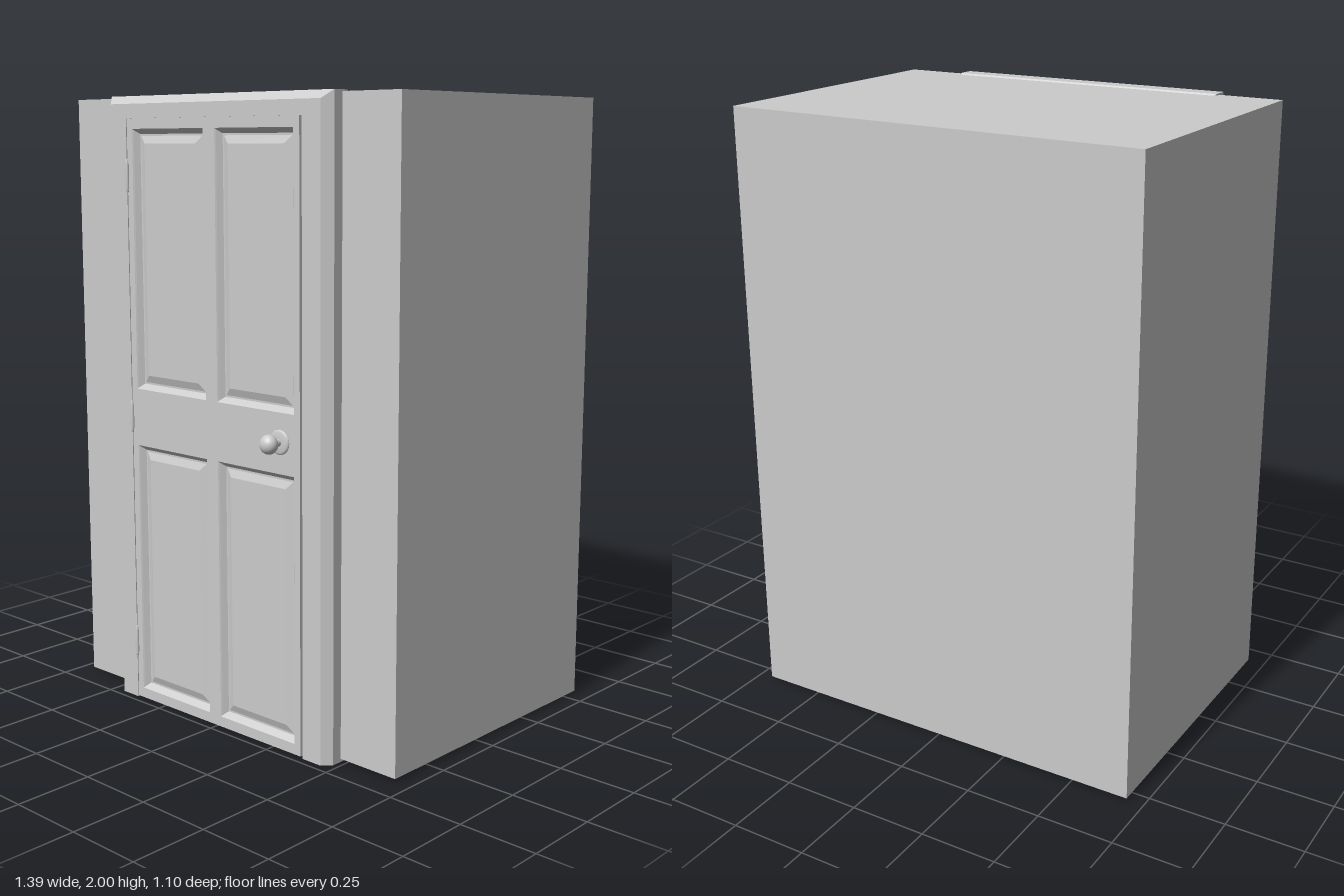
import * as THREE from 'three';

const material = new THREE.MeshStandardMaterial({ color: 0xcccccc });

function add(parent, name, geometry, x = 0, y = 0, z = 0) {
  const mesh = new THREE.Mesh(geometry, material);
  mesh.name = name;
  mesh.position.set(x, y, z);
  parent.add(mesh);
  return mesh;
}

// Joins closed rings of corners with flat quads and caps the chosen ends.
function loft(rings, capStart, capEnd) {
  const out = [];
  const tri = (a, b, c) => out.push(...a, ...b, ...c);
  const n = rings[0].length;
  for (let i = 0; i < rings.length - 1; i++) {
    const a = rings[i], b = rings[i + 1];
    for (let j = 0; j < n; j++) {
      const k = (j + 1) % n;
      tri(a[j], a[k], b[k]);
      tri(a[j], b[k], b[j]);
    }
  }
  const first = rings[0], last = rings[rings.length - 1];
  for (let j = 1; j < n - 1; j++) {
    if (capStart) tri(first[0], first[j + 1], first[j]);
    if (capEnd) tri(last[0], last[j], last[j + 1]);
  }
  const g = new THREE.BufferGeometry();
  g.setAttribute('position', new THREE.Float32BufferAttribute(out, 3));
  g.computeVertexNormals();
  return g;
}

// Corners of a rectangle, inset by d, counter-clockwise from the front.
function rectangle([x0, y0, x1, y1], d = 0) {
  return [[x0 + d, y0 + d], [x1 - d, y0 + d], [x1 - d, y1 - d], [x0 + d, y1 - d]];
}

// Mitred surround: [side inset, top inset, z], swept up, across and down.
function frameGeometry() {
  const profile = [
    [0, 0, 0.39], [0, 0, 0.447], [0.027, 0.025, 0.475],
    [0.1, 0.07, 0.475], [0.1, 0.07, 0.385], [0.008, 0.006, 0.385],
  ];
  const W = 0.482, H = 2;
  return loft([
    profile.map(([s, t, z]) => [-W + s, 0, z]),
    profile.map(([s, t, z]) => [-W + s, H - t, z]),
    profile.map(([s, t, z]) => [W - s, H - t, z]),
    profile.map(([s, t, z]) => [W - s, 0, z]),
  ], true, true);
}

export function createModel() {
  const model = new THREE.Group();
  model.name = 'doorBlock';

  // Solid block behind the door
  add(model, 'block', new THREE.BoxGeometry(1.392, 1.985, 0.962), 0, 1.0025, -0.068);
  add(model, 'frame', frameGeometry());

  // Door leaf, with a narrow gap on the latch side
  const door = new THREE.Group();
  door.name = 'door';
  model.add(door);
  const front = 0.472, back = 0.37;
  const panels = [];
  for (const [x0, x1] of [[-0.357, -0.031], [0.02, 0.346]]) {
    for (const [y0, y1] of [[0.037, 0.875], [1.063, 1.897]]) panels.push([x0, y0, x1, y1]);
  }
  const points = (r) => rectangle(r).map(([x, y]) => new THREE.Vector2(x, y));
  const leaf = new THREE.Shape(points([-0.382, 0.003, 0.37, 1.93]));
  panels.forEach((r) => leaf.holes.push(new THREE.Path(points(r).reverse())));
  add(door, 'leaf', new THREE.ExtrudeGeometry(leaf, { depth: front - back, bevelEnabled: false }), 0, 0, back);

  // Sunk moulding stepping up to a raised field
  const steps = [[0, front], [0.004, 0.468], [0.016, 0.452], [0.022, 0.452], [0.046, 0.461]];
  panels.forEach((r) => {
    const rings = steps.map(([d, z]) => rectangle(r, d).map(([x, y]) => [x, y, z]));
    add(door, 'raisedPanel', loft(rings, false, true));
  });

  // Hinge barrels with pointed finials
  const barrel = [
    [0, -0.055], [0.005, -0.05], [0.003, -0.042], [0.007, -0.038],
    [0.007, 0.038], [0.003, 0.042], [0.005, 0.05], [0, 0.055],
  ].map(([r, y]) => new THREE.Vector2(r, y));
  for (const y of [0.198, 0.968, 1.75]) {
    add(door, 'hinge', new THREE.LatheGeometry(barrel, 12), -0.383, y, 0.473);
  }

  // Knob on a round plate, turned to point forward
  const knob = new THREE.Group();
  knob.name = 'knob';
  knob.position.set(0.289, 0.973, front);
  knob.rotation.x = Math.PI / 2;
  door.add(knob);
  const plate = [[0.038, 0], [0.038, 0.004], [0.032, 0.008], [0.014, 0.009], [0, 0.009]];
  add(knob, 'plate', new THREE.LatheGeometry(plate.map(([r, y]) => new THREE.Vector2(r, y)), 32));
  add(knob, 'neck', new THREE.CylinderGeometry(0.012, 0.012, 0.03, 24), 0, 0.018, 0);
  add(knob, 'handle', new THREE.SphereGeometry(0.03, 32, 20), 0, 0.048, 0).scale.y = 0.87;

  return model;
}
